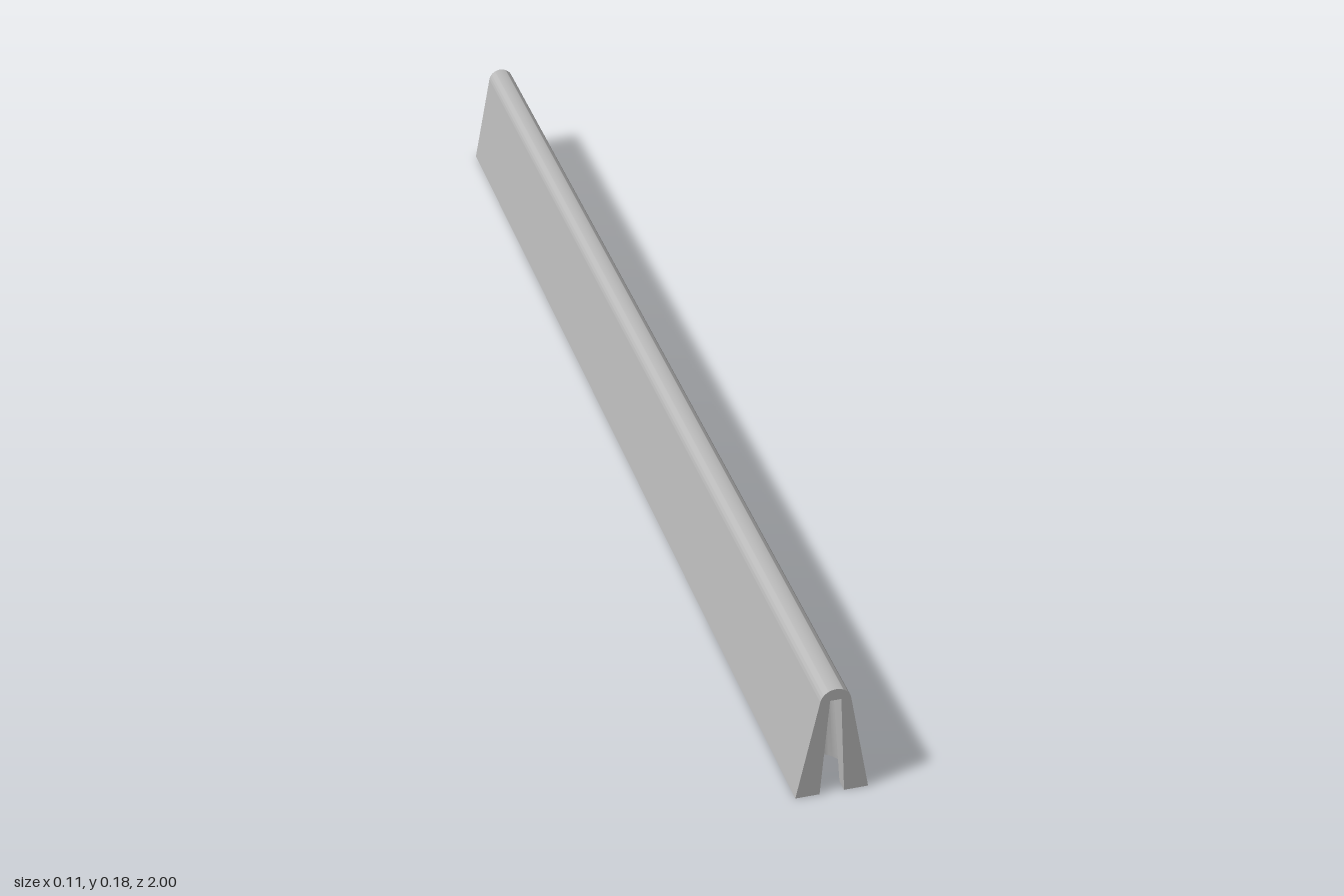
import * as THREE from 'three';
import { toCreasedNormals } from 'three/addons/utils/BufferGeometryUtils.js';

const ROOF = 0.16;                 // height of the notch ceiling
const RIDGE_R = 0.0225;            // radius of the rounded ridge
const TILT = 0.19;                 // lean of the side walls, in radians
const RIDGE_Y = ROOF - RIDGE_R * Math.sin(TILT);
const TOP_W = RIDGE_R * Math.cos(TILT);
const NOTCH_Z = 0.95;              // centre of each round pocket
const MOUTH = Math.asin(0.51);     // angle at which the slot meets the pocket

// Plan outline with a keyhole notch in both ends
function planOutline(halfWidth, radius) {
  const slot = radius * Math.sin(MOUTH);
  const half = [[halfWidth, 1], [slot, 1]];
  const steps = 32;
  for (let i = 0; i <= steps; i++) {
    const a = MOUTH + (i / steps) * (2 * Math.PI - 2 * MOUTH);
    half.push([radius * Math.sin(a), NOTCH_Z + radius * Math.cos(a)]);
  }
  half.push([-slot, 1], [-halfWidth, 1]);
  return [...half, ...half.map(([x, z]) => [-x, -z])];
}

// Tapered body: walls lofted between two outlines, plus the underside
function bodyGeometry() {
  const low = planOutline(0.053, 0.035);
  const high = planOutline(TOP_W, 0.0157);
  const pos = [];
  const put = ([x, z], y) => pos.push(x, y, z);
  low.forEach((p, i) => {
    const j = (i + 1) % low.length;
    put(p, 0); put(high[i], ROOF); put(high[j], ROOF);
    put(p, 0); put(high[j], ROOF); put(low[j], 0);
  });
  const contour = low.map(([x, z]) => new THREE.Vector2(x, z));
  for (const tri of THREE.ShapeUtils.triangulateShape(contour, [])) {
    tri.forEach((k) => put(low[k], 0));
  }
  const g = new THREE.BufferGeometry();
  g.setAttribute('position', new THREE.Float32BufferAttribute(pos, 3));
  return toCreasedNormals(g, 0.5);
}

// Rounded ridge running the full length; its flat base closes the notches
function ridgeGeometry() {
  const shape = new THREE.Shape();
  shape.moveTo(-TOP_W, ROOF);
  shape.lineTo(TOP_W, ROOF);
  shape.absarc(0, RIDGE_Y, RIDGE_R, TILT, Math.PI - TILT, false);
  const g = new THREE.ExtrudeGeometry(shape, { depth: 2, bevelEnabled: false, curveSegments: 24 });
  g.translate(0, 0, -1);
  return toCreasedNormals(g, 0.5);
}

export function createModel() {
  const grey = new THREE.MeshStandardMaterial({ color: 0xb8b8b8 });
  grey.name = 'grey';
  const group = new THREE.Group();
  group.name = 'notchedBar';
  const add = (name, geometry) => {
    const mesh = new THREE.Mesh(geometry, grey);
    mesh.name = name;
    group.add(mesh);
  };
  add('taperedBody', bodyGeometry());
  add('roundedRidge', ridgeGeometry());
  return group;
}
